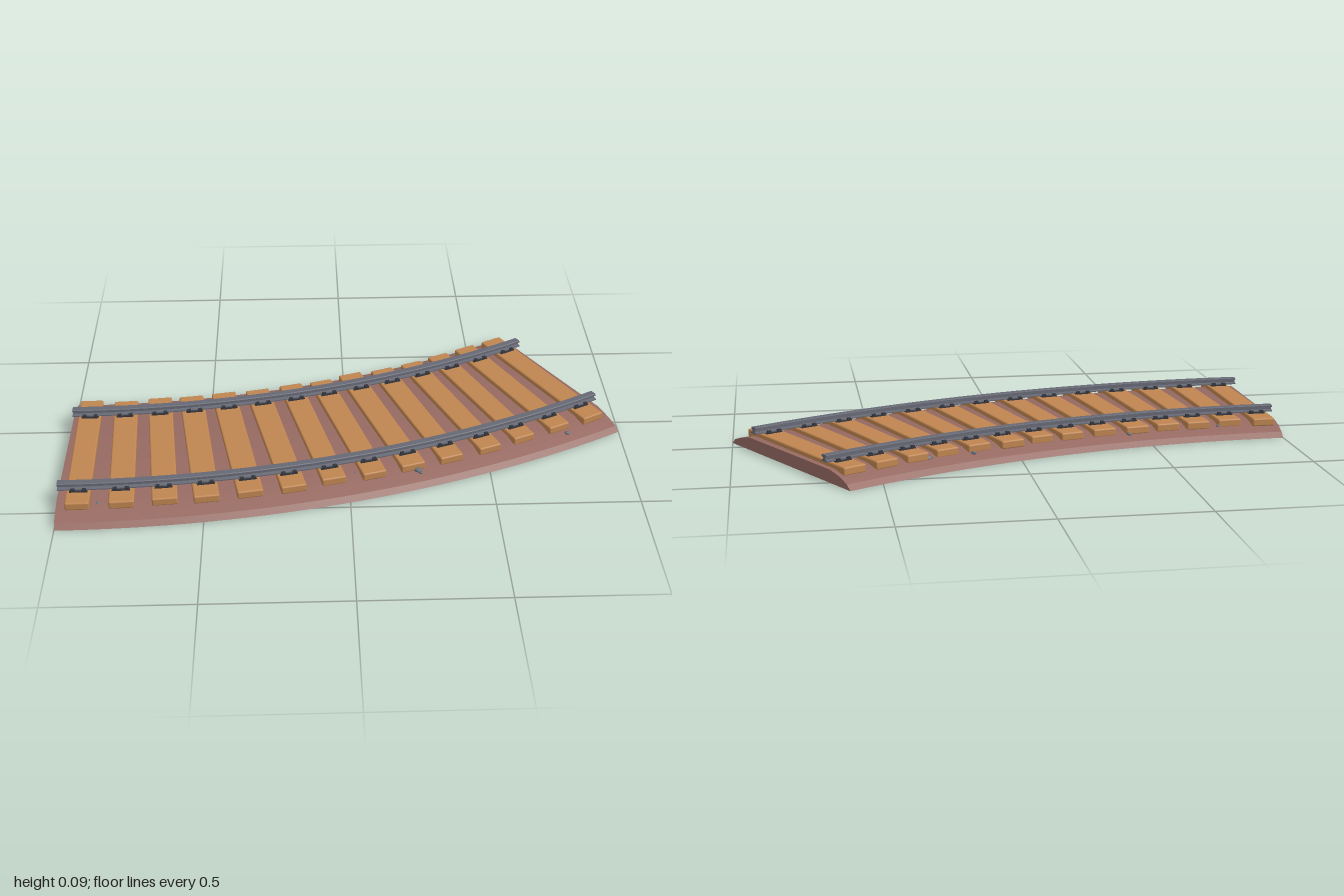
import * as THREE from 'three';
import { toCreasedNormals, mergeGeometries } from 'three/addons/utils/BufferGeometryUtils.js';
import { RoundedBoxGeometry } from 'three/addons/geometries/RoundedBoxGeometry.js';

const ARC = Math.PI / 6;          // the track turns through 30 degrees
const CENTRE = [-1, 0, -3.4];     // centre of the curve
const RAIL_RADII = [3.38, 3.845];
const TIES = 14;

const paint = (name, color) => {
  const m = new THREE.MeshStandardMaterial({ color });
  m.name = name;
  return m;
};

// Sweep a counter-clockwise (radius, height) profile round the curve, with end caps
function sweep(points, segments) {
  const pts = points.map(([r, y]) => new THREE.Vector2(r, y));
  const wall = new THREE.LatheGeometry([...pts, pts[0].clone()], segments, 0, ARC);
  const start = new THREE.ShapeGeometry(new THREE.Shape(pts)).rotateY(-Math.PI / 2);
  const end = new THREE.ShapeGeometry(new THREE.Shape(pts)).rotateY(ARC - Math.PI / 2);
  const index = end.index.array;
  for (let i = 0; i < index.length; i += 3) {
    [index[i], index[i + 1]] = [index[i + 1], index[i]];
  }
  end.computeVertexNormals();
  const parts = [wall, start, end].map((g) => g.toNonIndexed());
  return toCreasedNormals(mergeGeometries(parts), 0.35);
}

export function createModel() {
  const model = new THREE.Group();
  model.name = 'curvedTrack';
  const track = new THREE.Group();
  track.name = 'track';
  track.position.set(...CENTRE);
  model.add(track);

  const earth = paint('earth', 0x966a62);
  const wood = paint('wood', 0xbf8550);
  const steel = paint('steel', 0x666874);
  const iron = paint('darkIron', 0x34363d);
  const stone = paint('stone', 0x6c727a);

  const add = (parent, name, geometry, material, x = 0, y = 0, z = 0) => {
    const mesh = new THREE.Mesh(geometry, material);
    mesh.name = name;
    mesh.position.set(x, y, z);
    parent.add(mesh);
    return mesh;
  };

  let seed = 7;
  const random = () => (seed = (seed * 16807) % 2147483647) / 2147483647;

  // Ballast bed with sloping shoulders
  add(track, 'bed', sweep([
    [3.225, 0], [4, 0], [3.983, 0.018], [3.94, 0.032], [3.88, 0.046],
    [3.345, 0.046], [3.285, 0.034], [3.245, 0.018],
  ], 32), earth);

  // Rails: foot, web and head
  const half = [[0.018, 0.066], [0.018, 0.07], [0.006, 0.073], [0.006, 0.08], [0.014, 0.082], [0.014, 0.088], [0.011, 0.09]];
  for (const radius of RAIL_RADII) {
    const profile = [
      ...half.map(([w, y]) => [radius + w, y]),
      ...half.slice().reverse().map(([w, y]) => [radius - w, y]),
    ];
    add(track, 'rail', sweep(profile, 32), steel);
  }

  // Wooden ties, each with a plate and four spikes under either rail
  const plate = new THREE.BoxGeometry(0.062, 0.005, 0.05);
  const spike = new THREE.BoxGeometry(0.014, 0.01, 0.011);
  for (let i = 0; i < TIES; i++) {
    const unit = new THREE.Group();
    unit.name = 'tieUnit';
    unit.rotation.y = ((i + 0.5) / TIES) * ARC;
    track.add(unit);

    const width = 0.083 + random() * 0.008;
    const length = 0.635 + random() * 0.02;
    const tie = add(unit, 'tie', new RoundedBoxGeometry(width, 0.03, length, 2, 0.006), wood,
      (random() - 0.5) * 0.008, 0.047, 3.61 + (random() - 0.5) * 0.012);
    tie.rotation.y = (random() - 0.5) * 0.016;

    for (const radius of RAIL_RADII) {
      add(unit, 'railPlate', plate, iron, 0, 0.0635, radius);
      for (const sx of [-1, 1]) {
        for (const sz of [-1, 1]) {
          add(unit, 'spike', spike, iron, sx * 0.02, 0.068, radius + sz * 0.02);
        }
      }
    }
  }

  // Loose stones on the shoulders: x, z, size
  const stones = [
    [0.17, -0.335, 0.009], [0.33, -0.38, 0.012], [0.41, -0.36, 0.008], [-0.42, -0.17, 0.009],
    [-0.77, -0.11, 0.009], [0.02, 0.35, 0.012], [0.09, 0.375, 0.009], [0.24, 0.335, 0.013],
    [0.25, 0.35, 0.009], [0.8, 0.12, 0.009], [-0.86, 0.5, 0.008],
  ];
  const pebble = new THREE.IcosahedronGeometry(1, 0);
  for (const [x, z, size] of stones) {
    const mesh = add(model, 'stone', pebble, stone, x, 0.037, z);
    mesh.scale.set(size * 1.2, size * 0.8, size);
    mesh.rotation.y = random() * 6;
  }
  return model;
}
